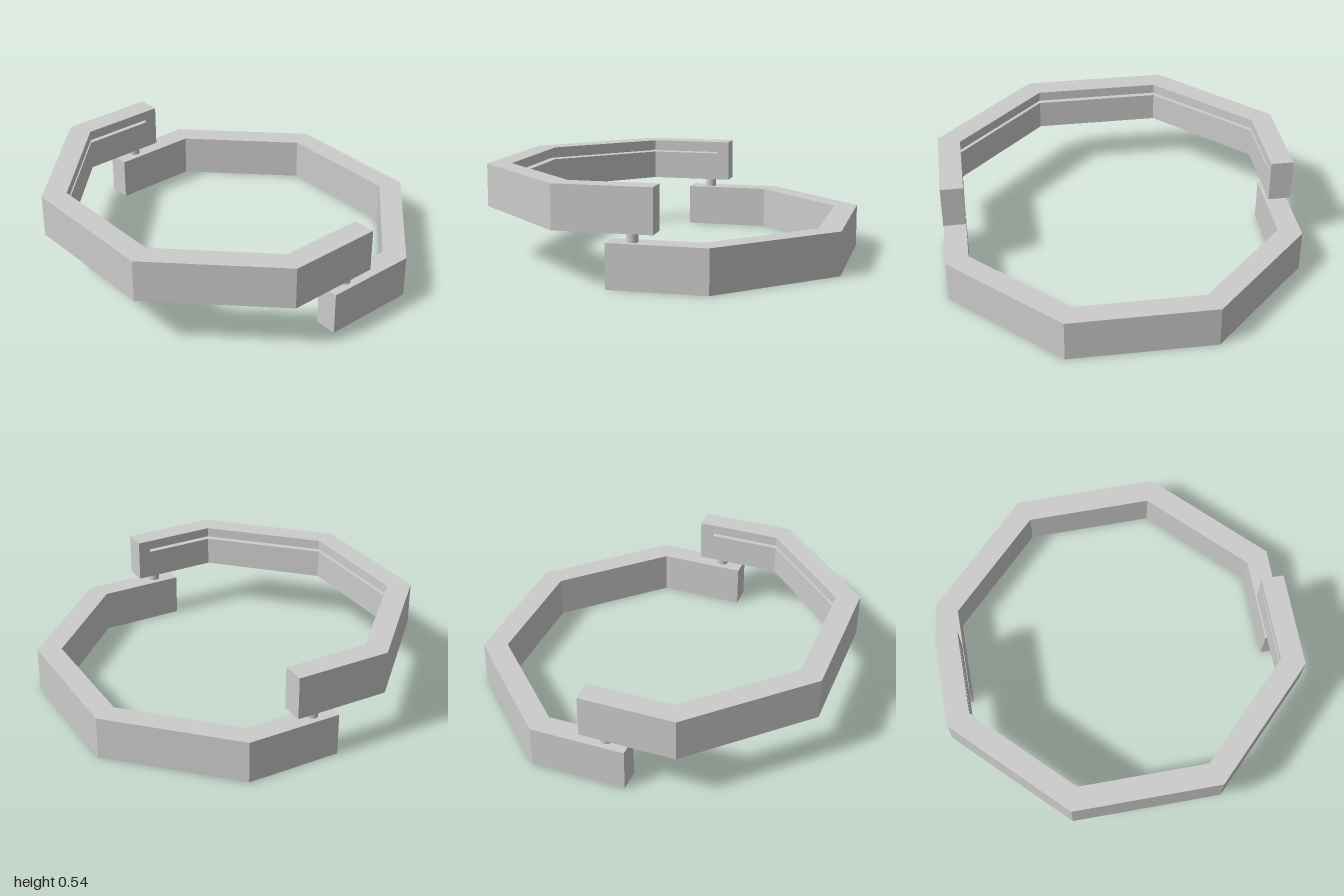
import * as THREE from 'three';

const K = Math.tan(Math.PI / 8); // half side of an octagon with apothem 1
const OUTER = 1, INNER = 0.872, GROOVE = 0.942; // apothems
const MID = (OUTER + INNER) / 2;
const TIP = 0.127, GROOVE_END = 0.053;
const HEIGHT = 0.243, GAP = 0.051, PIN_RADIUS = 0.032;

const material = new THREE.MeshStandardMaterial({ color: 0xcccccc });

// half octagon path from the back arm round the closed side to the front arm
function halfOctagon(a, end, side) {
  return [[end, a], [-a * K, a], [-a, a * K], [-a, -a * K], [-a * K, -a], [end, -a]]
    .map(([x, y]) => new THREE.Vector2(-side * x, y));
}

// horizontal band between the outer octagon and a given inner path
function band(name, side, inner, y, height, holes = []) {
  const shape = new THREE.Shape([...halfOctagon(OUTER, TIP, side), ...inner.reverse()]);
  shape.holes.push(...holes);
  const geometry = new THREE.ExtrudeGeometry(shape, { depth: height, bevelEnabled: false, curveSegments: 16 });
  geometry.rotateX(-Math.PI / 2);
  const mesh = new THREE.Mesh(geometry, material);
  mesh.name = name;
  mesh.position.y = y;
  return mesh;
}

export function createModel() {
  const model = new THREE.Group();
  model.name = 'splitOctagonRing';

  // lower half ring, drilled for the pins
  const holes = [1, -1].map((s) =>
    new THREE.Path().absarc(0, s * MID, PIN_RADIUS, 0, Math.PI * 2, true));
  model.add(band('lowerHalfRing', 1, halfOctagon(INNER, TIP, 1), 0, HEIGHT, holes));

  // upper half ring in three layers, the thin middle one cut back to form the groove
  const base = HEIGHT + GAP, top = base + HEIGHT;
  const grooveLow = 0.463, grooveHigh = 0.481;
  const plain = () => halfOctagon(INNER, TIP, -1);
  const cut = [
    new THREE.Vector2(TIP, INNER),
    new THREE.Vector2(GROOVE_END, INNER),
    ...halfOctagon(GROOVE, GROOVE_END, -1),
    new THREE.Vector2(GROOVE_END, -INNER),
    new THREE.Vector2(TIP, -INNER),
  ];
  const upper = new THREE.Group();
  upper.name = 'upperHalfRing';
  upper.add(
    band('upperRingBody', -1, plain(), base, grooveLow - base),
    band('grooveLayer', -1, cut, grooveLow, grooveHigh - grooveLow),
    band('upperRingRim', -1, plain(), grooveHigh, top - grooveHigh),
  );
  model.add(upper);

  // pins joining the overlapping arms
  const pinBottom = 0.08;
  const pinGeometry = new THREE.CylinderGeometry(PIN_RADIUS, PIN_RADIUS, base - pinBottom, 16);
  for (const s of [1, -1]) {
    const pin = new THREE.Mesh(pinGeometry, material);
    pin.name = s > 0 ? 'frontPin' : 'backPin';
    pin.position.set(0, (base + pinBottom) / 2, s * MID);
    model.add(pin);
  }
  return model;
}
